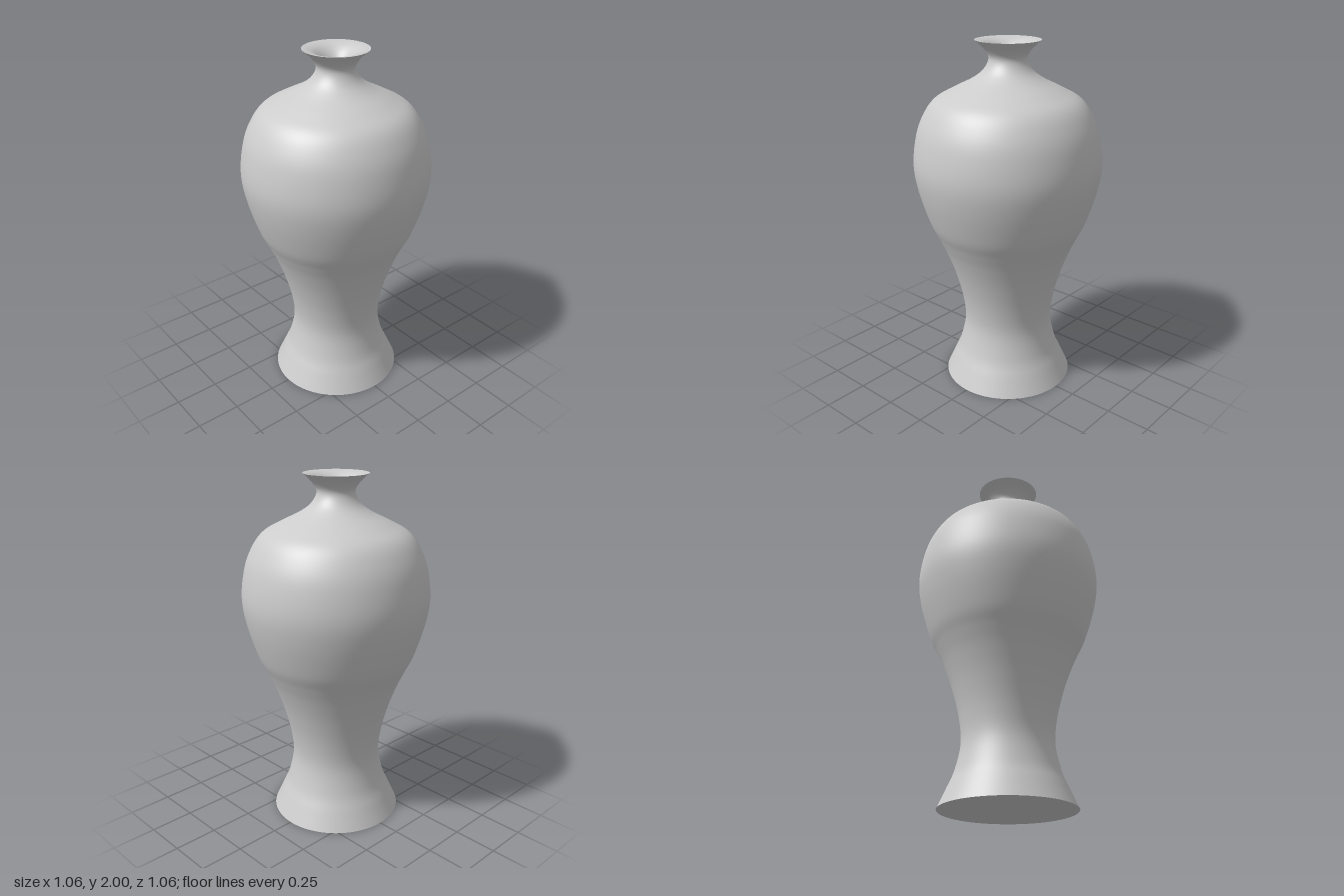
import * as THREE from 'three';

const SEGMENTS = 96;
const material = new THREE.MeshStandardMaterial({ color: 0xcccccc, side: THREE.DoubleSide });

const toPoints = (pairs) => pairs.map(([r, y]) => new THREE.Vector2(r, y));
const smooth = (pairs, n) => new THREE.SplineCurve(toPoints(pairs)).getPoints(n);

function turned(name, points) {
  const mesh = new THREE.Mesh(new THREE.LatheGeometry(points, SEGMENTS), material);
  mesh.name = name;
  return mesh;
}

export function createModel() {
  const vase = new THREE.Group();
  vase.name = 'vase';

  // Outer wall: flared foot, waist, full shoulder, narrow neck, flared lip
  const outer = [
    [0.375, 0], [0.33, 0.1], [0.288, 0.2], [0.257, 0.35], [0.27, 0.5], [0.31, 0.66],
    [0.36, 0.8], [0.405, 0.9], [0.452, 1.0], [0.507, 1.18], [0.528, 1.33], [0.507, 1.49],
    [0.465, 1.6], [0.405, 1.68], [0.31, 1.735], [0.2, 1.79], [0.135, 1.84],
    [0.105, 1.9], [0.128, 1.95], [0.18, 2.0],
  ];
  vase.add(turned('outerWall', smooth(outer, 120)));

  // Rounded lip running down through the throat into the hollow
  const inner = [
    [0.18, 2.0], [0.145, 1.993], [0.115, 1.98], [0.085, 1.955], [0.06, 1.92], [0.05, 1.88],
    [0.075, 1.83], [0.15, 1.755], [0.265, 1.695], [0.365, 1.64], [0.418, 1.575],
    [0.457, 1.48], [0.478, 1.33], [0.457, 1.18], [0.405, 1.02], [0.315, 0.82],
    [0.26, 0.66], [0.22, 0.5], [0.207, 0.35], [0.238, 0.2], [0.3, 0.05],
  ];
  vase.add(turned('lipAndInnerWall', smooth(inner, 120)));

  // Flat inside floor and flat underside
  vase.add(turned('insideFloor', toPoints([[0.3, 0.05], [0, 0.05]])));
  vase.add(turned('base', toPoints([[0, 0], [0.375, 0]])));

  return vase;
}
